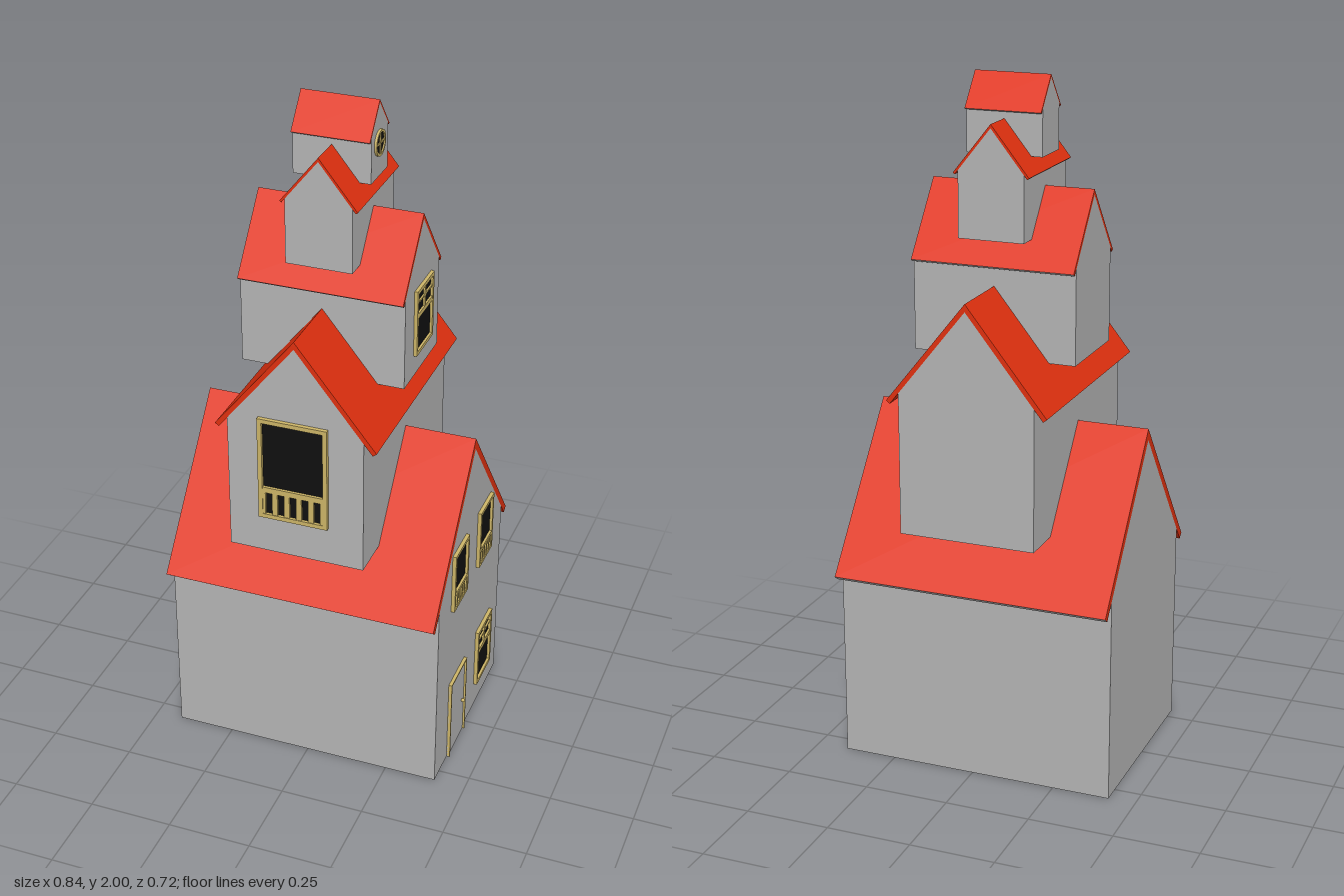
import * as THREE from 'three';

const mat = (name, color) => {
  const m = new THREE.MeshStandardMaterial({ color });
  m.name = name;
  return m;
};

export function createModel() {
  const wall = mat('wall grey', 0xb4b4b4);
  const red = mat('roof red', 0xe0300f);
  const trim = mat('trim yellow', 0xcdb567);
  const glass = mat('glass black', 0x101010);

  const model = new THREE.Group();
  model.name = 'stackedHouses';

  const add = (parent, name, geometry, material) => {
    const mesh = new THREE.Mesh(geometry, material);
    mesh.name = name;
    parent.add(mesh);
    return mesh;
  };

  // Prism along z, centred, from a list of [x, y] corners
  const prism = (points, depth) => {
    const shape = new THREE.Shape(points.map(([x, y]) => new THREE.Vector2(x, y)));
    return new THREE.ExtrudeGeometry(shape, { depth, bevelEnabled: false }).translate(0, 0, -depth / 2);
  };

  // Assign a material index to each triangle by its normal and position
  const paint = (geometry, rule) => {
    const p = geometry.attributes.position, n = geometry.attributes.normal;
    geometry.clearGroups();
    for (let i = 0; i < p.count; i += 3) {
      geometry.addGroup(i, 3, rule(n.getX(i), n.getY(i), p.getX(i)));
    }
    return geometry;
  };

  // Flat bar on a gable, given by its edges
  const bar = (g, name, x0, x1, y0, y1, z, depth, material) =>
    add(g, name, new THREE.BoxGeometry(x1 - x0, y1 - y0, depth)
      .translate((x0 + x1) / 2, (y0 + y1) / 2, z + depth / 2), material);

  // Gabled house, ridge along local z
  const house = (name, { base, ridge, eave, half, roofHalf, length, t, turned }) => {
    const g = new THREE.Group();
    g.name = name;
    g.position.set(-0.0075, 0, -0.0065);
    if (turned) g.rotation.y = Math.PI / 2;
    model.add(g);
    const slope = (ridge - eave) / roofHalf;
    const k = Math.hypot(1, slope);
    const drop = t * k;
    const under = ridge - drop;
    const nx = (t * slope) / k, ny = t / k;
    // Walls with a red underside
    const shoulder = under - half * slope;
    const walls = prism([[-half, base], [half, base], [half, shoulder], [0, under], [-half, shoulder]], length);
    add(g, 'walls', paint(walls, (x, y) => (y < -0.9 ? 1 : 0)), [wall, red]);
    // Red roof with grey eave edges
    const roof = prism([[0, ridge], [-roofHalf, eave], [-roofHalf + nx, eave - ny], [0, under],
      [roofHalf - nx, eave - ny], [roofHalf, eave]], length);
    add(g, 'roof', paint(roof, (x, y, px) => (y < -0.1 && x * px > 0 ? 1 : 0)), [red, wall]);
    return g;
  };

  // Frame ring with a dark pane behind it
  const frame = (g, x0, x1, y0, y1, w, z, depth) => {
    bar(g, 'pane', x0 + w, x1 - w, y0 + w, y1 - w, z, 0.003, glass);
    bar(g, 'frameLeft', x0, x0 + w, y0, y1, z, depth, trim);
    bar(g, 'frameRight', x1 - w, x1, y0, y1, z, depth, trim);
    bar(g, 'frameBottom', x0 + w, x1 - w, y0, y0 + w, z, depth, trim);
    bar(g, 'frameTop', x0 + w, x1 - w, y1 - w, y1, z, depth, trim);
  };

  // Window with a transom and two lights above
  const sashWindow = (g, x0, x1, y0, y1, z, depth) => {
    const w = 0.011, h = y1 - y0, mid = (x0 + x1) / 2;
    frame(g, x0, x1, y0, y1, w, z, depth);
    const ty = y0 + h * 0.6;
    bar(g, 'transom', x0 + w, x1 - w, ty - 0.007, ty + 0.007, z, depth * 0.9, trim);
    bar(g, 'mullion', mid - 0.005, mid + 0.005, ty, y1 - w, z, depth * 0.85, trim);
    bar(g, 'glazingBar', x0 + w, x1 - w, y0 + h * 0.79, y0 + h * 0.815, z, depth * 0.8, trim);
  };

  // Window with a row of balusters below
  const balconyWindow = (g, x0, x1, y0, y1, z, depth, w) => {
    const h = y1 - y0, r0 = y0 + h * 0.26;
    frame(g, x0, x1, y0, y1, w, z, depth);
    bar(g, 'rail', x0 + w, x1 - w, r0, r0 + h * 0.055, z, depth * 0.95, trim);
    const pitch = (x1 - x0 - 2 * w) / 5;
    for (let i = 0; i <= 5; i++) {
      const c = x0 + w + i * pitch, b = pitch * 0.22;
      bar(g, 'baluster', Math.max(c - b, x0 + w), Math.min(c + b, x1 - w), y0 + w, r0, z, depth * 0.85, trim);
    }
  };

  // Ground house: door, sash window and two upper windows
  const h1 = house('groundHouse', { base: 0, ridge: 1.018, eave: 0.575, half: 0.3, roofHalf: 0.352, length: 0.825, t: 0.021, turned: true });
  const z1 = 0.4125, o = -0.0065;
  const dx0 = -0.178 + o, dx1 = -0.03 + o;
  bar(h1, 'doorLeaf', dx0, dx1, 0, 0.268, z1, 0.004, wall);
  bar(h1, 'doorFrameLeft', dx0, dx0 + 0.005, 0, 0.27, z1, 0.01, trim);
  bar(h1, 'doorFrameRight', dx1 - 0.005, dx1, 0, 0.27, z1, 0.01, trim);
  bar(h1, 'doorFrameTop', dx0, dx1, 0.265, 0.27, z1, 0.01, trim);
  add(h1, 'doorKnob', new THREE.SphereGeometry(0.006, 12, 8).translate(-0.055 + o, 0.125, z1 + 0.009), trim);
  sashWindow(h1, 0.083 + o, 0.222 + o, 0.083, 0.28, z1, 0.011);
  for (const x of [-0.181, 0.058]) balconyWindow(h1, x + o, x + 0.127 + o, 0.54, 0.732, z1, 0.011, 0.01);

  // Second house: large front window
  const h2 = house('secondHouse', { base: 0.74, ridge: 1.428, eave: 1.13, half: 0.201, roofHalf: 0.238, length: 0.702, t: 0.014 });
  balconyWindow(h2, -0.108, 0.098, 0.857, 1.177, 0.351, 0.012, 0.013);

  // Third house: sash window
  const h3 = house('thirdHouse', { base: 1.222, ridge: 1.692, eave: 1.487, half: 0.142, roofHalf: 0.163, length: 0.484, t: 0.01, turned: true });
  sashWindow(h3, -0.067, 0.074, 1.287, 1.487, 0.242, 0.01);

  // Fourth house: plain
  house('fourthHouse', { base: 1.56, ridge: 1.882, eave: 1.742, half: 0.097, roofHalf: 0.112, length: 0.328, t: 0.007 });

  // Top house: round window
  const h5 = house('topHouse', { base: 1.782, ridge: 2, eave: 1.905, half: 0.064, roofHalf: 0.077, length: 0.225, t: 0.005, turned: true });
  const z5 = 0.1125, cy = 1.88, cx = -0.005;
  add(h5, 'roundPane', new THREE.CylinderGeometry(0.033, 0.033, 0.003, 32).rotateX(Math.PI / 2)
    .translate(cx, cy, z5 + 0.0015), glass);
  const ring = new THREE.Shape().absarc(0, 0, 0.037, 0, Math.PI * 2);
  ring.holes.push(new THREE.Path().absarc(0, 0, 0.03, 0, Math.PI * 2, true));
  add(h5, 'roundFrame', new THREE.ExtrudeGeometry(ring, { depth: 0.007, bevelEnabled: false, curveSegments: 24 })
    .translate(cx, cy, z5), trim);
  bar(h5, 'roundCrossUpright', cx - 0.003, cx + 0.003, cy - 0.031, cy + 0.031, z5, 0.006, trim);
  bar(h5, 'roundCrossLevel', cx - 0.031, cx + 0.031, cy - 0.003, cy + 0.003, z5, 0.0055, trim);

  return model;
}
